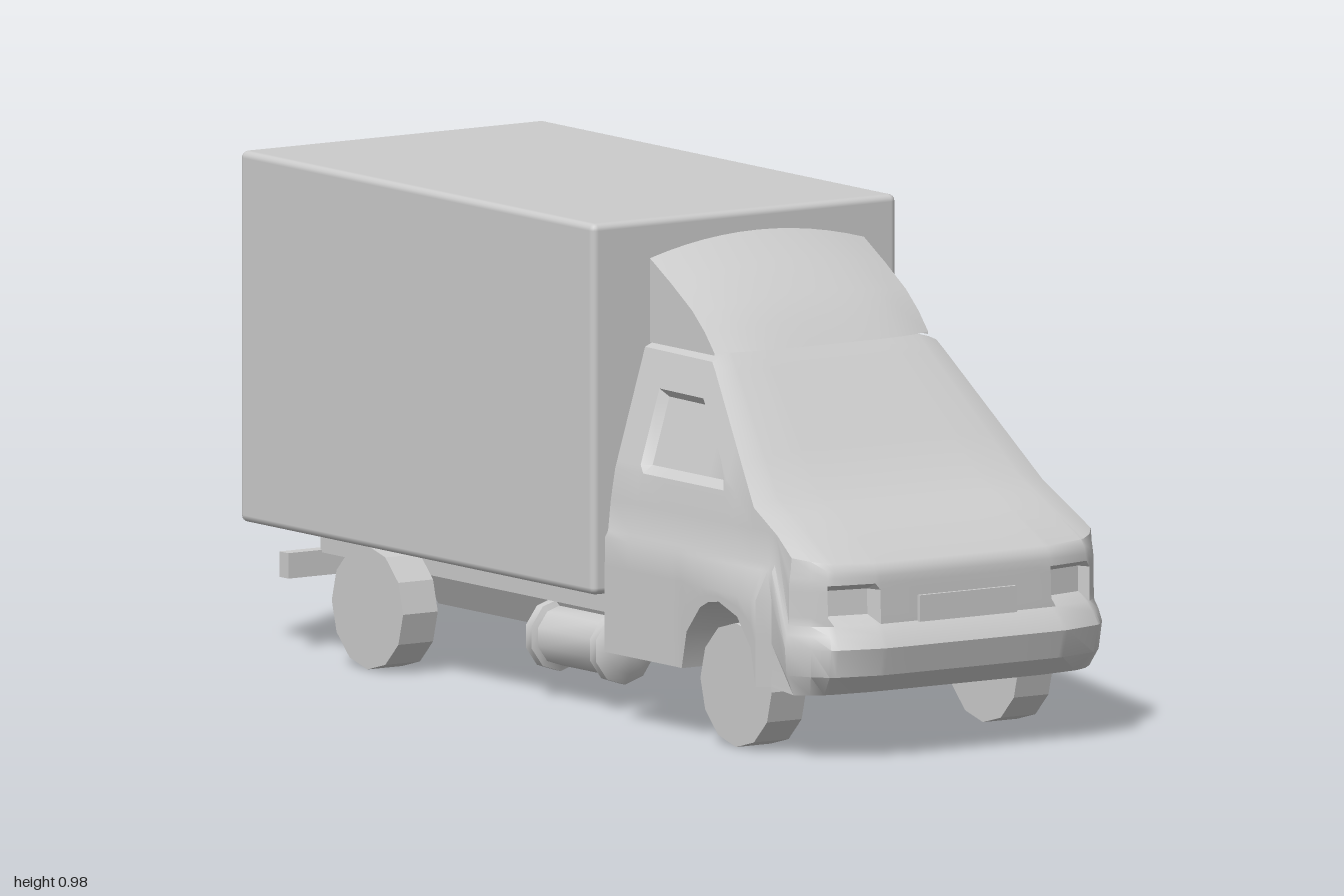
import * as THREE from 'three';
import { mergeGeometries, toCreasedNormals } from 'three/addons/utils/BufferGeometryUtils.js';
import { RoundedBoxGeometry } from 'three/addons/geometries/RoundedBoxGeometry.js';

const material = new THREE.MeshStandardMaterial({ color: 0xcccccc, side: THREE.DoubleSide });
const flat = new THREE.MeshStandardMaterial({ color: 0xcccccc, flatShading: true });

// Piecewise-linear lookup in [[position, value], ...]
function sample(points, t) {
  if (t <= points[0][0]) return points[0][1];
  for (let i = 1; i < points.length; i++) {
    const [a, va] = points[i - 1], [b, vb] = points[i];
    if (t <= b) return va + ((vb - va) * (t - a)) / (b - a);
  }
  return points[points.length - 1][1];
}

// Surface through columns of [x, y, z] points; it faces along (row step) x (column step)
function surface(columns) {
  const n = columns[0].length, index = [];
  for (let c = 0; c < columns.length - 1; c++)
    for (let r = 0; r < n - 1; r++) {
      const a = c * n + r, d = a + n;
      index.push(a, a + 1, d + 1, a, d + 1, d);
    }
  const geometry = new THREE.BufferGeometry();
  geometry.setAttribute('position', new THREE.Float32BufferAttribute(columns.flat(2), 3));
  geometry.setIndex(index);
  return geometry.toNonIndexed();
}

const shell = (surfaces, crease) => toCreasedNormals(mergeGeometries(surfaces), crease);
const mirror = (column) => column.map(([x, y, z]) => [-x, y, z]);

// Cab outline: roof, windscreen and bonnet heights along z
const TOP = [[0.25, 0.75], [0.48, 0.748], [0.5, 0.73], [0.7325, 0.498], [0.96, 0.383]];
const LEAN = [[0.36, 0.36], [0.48, 0.347], [0.74, 0.268]];
const ARCH = { z: 0.66, y: 0.14, r: 0.145 };
const archZ = [180, 150, 120, 90, 60, 30, 0].map((d) => ARCH.z + ARCH.r * Math.cos((d * Math.PI) / 180));
const cabZ = [0.25, 0.33, 0.345, 0.42, 0.48, 0.5, ...archZ, 0.62, 0.82].sort((a, b) => a - b);
const halfF = [0.16, 0.32, 0.45, 0.56, 0.59, 0.83, 0.86, 0.93, 1];
const noseF = [...halfF.map((f) => -f).reverse(), 0, ...halfF];
const NOSE = [[0.13, 0.93], [0.17, 0.985], [0.225, 1], [0.25, 0.985], [0.268, 0.966], [0.285, 0.966],
  [0.335, 0.964], [0.348, 0.964], [0.362, 0.963], [0.375, 0.96], [0.386, 0.95]];

// Left flank of the cab at z, from the sill or arch up to the roof edge
function sideColumn(z) {
  const top = sample(TOP, z) - 0.018;
  const sill = 0.14 + Math.sqrt(Math.max(0, ARCH.r ** 2 - (z - ARCH.z) ** 2)) * 1.03;
  const windowTop = Math.max(0.5, Math.min(0.675, top - 0.07));
  const low = Math.min(0.515, (0.5 + windowTop) / 2);
  const ys = [sill, (sill + 0.31) / 2, 0.31, 0.365, 0.378, 0.44, 0.5, low,
    Math.max(low, windowTop - 0.015), windowTop, top];
  const flare = z > 0.5 && z < 0.81 ? 0.09 * (z - 0.5) : 0;
  const glazed = z > 0.34 && z < 0.6;
  return ys.map((y, i) => {
    const h = Math.min(y, top - (10 - i) * 0.002);
    let x = sample(LEAN, h);
    if (i < 3) x += flare;
    if (i > 3) x -= 0.006;
    if (glazed && (i === 7 || i === 8)) x -= 0.018;
    return [x, h, z];
  });
}

// Front face at fraction f of the half width, with bumper and recessed headlamps
function noseColumn(f) {
  const bend = f ** 8;
  return NOSE.map(([y, zc], i) => {
    const lamp = Math.abs(f) >= 0.59 && Math.abs(f) <= 0.83 && (i === 5 || i === 6);
    const w = [0.35, 0.366, 0.37, 0.365, 0.36, 0.36, 0.36, 0.36, 0.358, 0.356, 0.354][i];
    return [f * w, y + (i === 10 ? 0.014 * bend : 0), zc - (zc - 0.88) * bend - (lamp ? 0.03 : 0)];
  });
}

function cabGeometry() {
  const left = cabZ.map(sideColumn);
  const nose = noseF.map(noseColumn);
  const wrap = [...left, ...[...nose].reverse(), ...left.map(mirror).reverse()];
  const crown = (f, column) => {
    const [x, y, z] = column[10];
    return [f * x, y + 0.018 * (1 - f ** 8), z];
  };
  const roof = noseF.map((f, i) => [...left.map((c) => crown(f, c)), nose[i][10]]);
  const rear = left[0], front = left[left.length - 1];
  const rearCrown = noseF.map((f) => [[f * rear[10][0], rear[10][1], 0.25], crown(f, rear)]);
  // Floor with raised wheel wells
  const floor = [1, -1].flatMap((s) => {
    const well = [
      left.map(([[x, y, z]]) => [s * x, y, z]),
      left.map(([[, y, z]]) => [s * 0.24, y, z]),
      left.map(([[, , z]]) => [s * 0.24, 0.14, z]),
    ];
    return s > 0 ? well : well.reverse();
  });
  const valance = noseF.map((f, i) => [[f * front[0][0], 0.14, 0.82], nose[i][0]]).reverse();
  return shell([wrap, roof, [mirror(rear), rear], rearCrown, floor, valance].map(surface), 0.6);
}

// Curved roof fairing with closed sides and back
function deflectorGeometry() {
  const profile = [[0.25, 0.94], [0.33, 0.89], [0.41, 0.835], [0.46, 0.79], [0.5, 0.745]];
  const fs = Array.from({ length: 13 }, (_, i) => i / 6 - 1);
  const skin = fs.map((f) => profile.map(([z, y], i) => [
    f * 0.253, y - (0.035 * f * f * (y - 0.745)) / 0.195, z - 0.03 * f ** 4 * (i / 4)]));
  const side = skin[12].map(([x, y, z]) => [[x, 0.74, z], [x, y, z]]);
  const back = skin.map(([[x, y, z]]) => [[x, 0.74, z], [x, y, z]]);
  return shell([skin, side, side.map(mirror).reverse(), back].map(surface), 0.6);
}

export function createModel() {
  const model = new THREE.Group();
  const add = (name, geometry, x = 0, y = 0, z = 0, mat = material) => {
    const mesh = new THREE.Mesh(geometry, mat);
    mesh.name = name;
    mesh.position.set(x, y, z);
    model.add(mesh);
    return mesh;
  };
  const block = (name, x, [y0, y1], [z0, z1], width) =>
    add(name, new THREE.BoxGeometry(width, y1 - y0, z1 - z0), x, (y0 + y1) / 2, (z0 + z1) / 2);

  add('cab', cabGeometry());
  add('roofDeflector', deflectorGeometry());
  block('numberPlate', 0, [0.266, 0.318], [0.95, 0.973], 0.23);
  add('cargoBox', new RoundedBoxGeometry(0.72, 0.73, 1.21, 2, 0.014), 0, 0.61, -0.395);

  // Chassis
  block('subframe', 0, [0.19, 0.25], [-0.88, 0.26], 0.5);
  const belly = new THREE.Shape([[-0.24, 0.2], [-0.2, 0.125], [-0.1, 0.1], [0.1, 0.1], [0.2, 0.125], [0.24, 0.2]]
    .map(([x, y]) => new THREE.Vector2(x, y)));
  add('underbody', toCreasedNormals(
    new THREE.ExtrudeGeometry(belly, { depth: 0.98, bevelEnabled: false }), 0.6), 0, 0, -0.55);
  block('rearBumper', 0, [0.145, 0.195], [-0.905, -0.875], 0.66);

  // Fuel tank: barrel with a collar at each end
  const tankProfile = [[0, -0.14], [0.05, -0.135], [0.072, -0.12], [0.072, -0.1], [0.06, -0.095],
    [0.06, 0.095], [0.072, 0.1], [0.072, 0.12], [0.05, 0.135], [0, 0.14]]
    .map(([r, y]) => new THREE.Vector2(r, y));
  const tank = toCreasedNormals(new THREE.LatheGeometry(tankProfile, 10).rotateX(Math.PI / 2), 0.7);
  const wheel = new THREE.CylinderGeometry(0.122, 0.122, 0.082, 12).rotateZ(Math.PI / 2);

  for (const [s, sideName] of [[1, 'left'], [-1, 'right']]) {
    add(`${sideName}FuelTank`, tank, s * 0.222, 0.12, 0);
    add(`${sideName}FrontWheel`, wheel, s * 0.292, 0.122, 0.66, flat);
    add(`${sideName}RearWheel`, wheel, s * 0.292, 0.122, -0.6, flat);
    block(`${sideName}BumperBracket`, s * 0.17, [0.15, 0.2], [-0.88, -0.5], 0.04);
  }
  return model;
}
